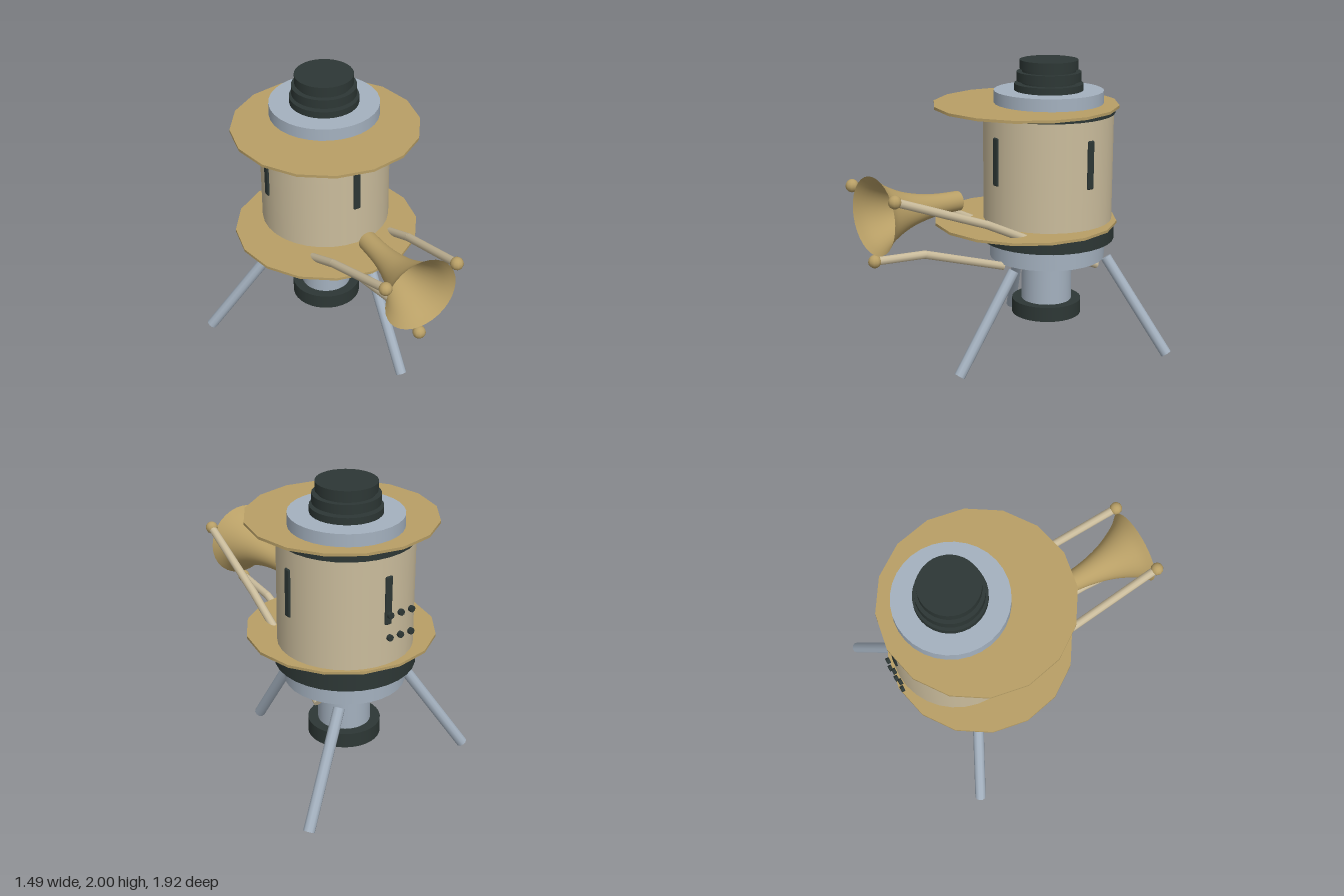
import * as THREE from 'three';
import { RoundedBoxGeometry } from 'three/addons/geometries/RoundedBoxGeometry.js';

const material = (name, color, side = THREE.FrontSide) =>
  Object.assign(new THREE.MeshStandardMaterial({ color, side }), { name });

export function createModel() {
  const brass = material('brass', 0xb89f66, THREE.DoubleSide);
  const cream = material('cream', 0xcabc9c);
  const steel = material('steel', 0xa4b1bf);
  const dark = material('darkRubber', 0x2d3735);

  const model = new THREE.Group();
  model.name = 'hornMachine';
  const AX = 0.067, AZ = -0.397; // axis of the drum

  const add = (name, geometry, mat, x = 0, y = 0, z = 0, parent = model) => {
    const mesh = new THREE.Mesh(geometry, mat);
    mesh.name = name;
    mesh.position.set(x, y, z);
    parent.add(mesh);
    return mesh;
  };
  // Upright cylinder between two heights
  const drum = (name, r, y0, y1, mat, x = AX, z = AZ, sides = 32) =>
    add(name, new THREE.CylinderGeometry(r, r, y1 - y0, sides), mat, x, (y0 + y1) / 2, z);
  // Straight rod between two points
  const rod = (name, a, b, r, mat, sides = 10) => {
    const p = new THREE.Vector3(...a), q = new THREE.Vector3(...b);
    const mesh = add(name, new THREE.CylinderGeometry(r, r, p.distanceTo(q), sides), mat);
    mesh.position.copy(p).add(q).multiplyScalar(0.5);
    mesh.quaternion.setFromUnitVectors(new THREE.Vector3(0, 1, 0), q.sub(p).normalize());
    return mesh;
  };

  // Stacked drum, bottom to top
  drum('foot', 0.235, 0.26, 0.36, dark);
  drum('column', 0.17, 0.36, 0.67, steel);
  drum('lowerCollar', 0.388, 0.67, 0.8, steel);
  drum('lowerBand', 0.45, 0.8, 0.925, dark);
  drum('body', 0.432, 0.925, 1.665, cream);
  drum('upperBand', 0.44, 1.655, 1.702, dark);
  drum('upperCollar', 0.363, 1.71, 1.8, steel);
  drum('capNeck', 0.178, 1.8, 1.95, dark);
  drum('capRingLower', 0.228, 1.8, 1.845, dark);
  drum('capRingMiddle', 0.213, 1.862, 1.922, dark);
  drum('capRingTop', 0.193, 1.94, 2.0, dark);

  // Wide plates, set forward of the drum axis
  drum('lowerPlate', 0.615, 0.92, 0.938, brass, 0, -0.258, 16);
  drum('upperPlate', 0.615, 1.7, 1.718, brass, 0, -0.258, 16);

  // Four upright slots around the body
  for (let i = 0; i < 4; i++) {
    const a = i * Math.PI / 2;
    const slot = add('slot', new RoundedBoxGeometry(0.05, 0.32, 0.03, 2, 0.01), dark,
      AX + Math.sin(a) * 0.427, 1.37, AZ + Math.cos(a) * 0.427);
    slot.rotation.y = a;
  }

  // Two rows of buttons at the back
  for (const y of [1.14, 1.29]) for (const x of [-0.08, 0, 0.08]) {
    add('button', new THREE.CylinderGeometry(0.021, 0.021, 0.022, 8), dark, x, y, -0.869)
      .rotation.x = Math.PI / 2;
  }

  // Tripod legs
  [[[0.2, 0.655, -0.01], [0.2, 0.022, 0.43]],
   [[0.33, 0.655, -0.7], [0.715, 0.02, -0.925]],
   [[-0.33, 0.655, -0.475], [-0.715, 0.02, -0.695]]]
    .forEach(([a, b]) => rod('leg', a, b, 0.037, steel));

  // Flared horn with a closed rear end
  const horn = new THREE.Group();
  horn.name = 'horn';
  horn.position.y = 1.14;
  model.add(horn);
  const curve = new THREE.SplineCurve([[0.064, 0.29], [0.07, 0.45], [0.09, 0.59], [0.13, 0.73],
    [0.195, 0.86], [0.25, 0.925]].map(([r, z]) => new THREE.Vector2(r, z)));
  add('hornBell', new THREE.LatheGeometry(curve.getPoints(20), 32), brass, 0, 0, 0, horn)
    .rotation.x = Math.PI / 2;
  add('hornEnd', new THREE.CircleGeometry(0.064, 32), brass, 0, 0, 0.29, horn);

  // Jointed arms holding the horn rim: ball, joint, end inside or under the drum
  [[[-0.25, 1.285, 0.925], [-0.25, 1.05, 0.29], [-0.25, 0.645, -0.56]],
   [[0.25, 1.285, 0.925], [0.315, 1.05, 0.29], [0.39, 0.645, -0.56]],
   [[0, 0.85, 0.925], [0.025, 0.835, 0.57], [0.07, 0.655, -0.02]]]
    .forEach(([ball, joint, end]) => {
      add('armBall', new THREE.SphereGeometry(0.042, 10, 8), brass, ...ball);
      rod('armOuter', ball, joint, 0.027, cream);
      add('armJoint', new THREE.SphereGeometry(0.027, 10, 8), cream, ...joint);
      rod('armInner', joint, end, 0.027, cream);
    });

  return model;
}
